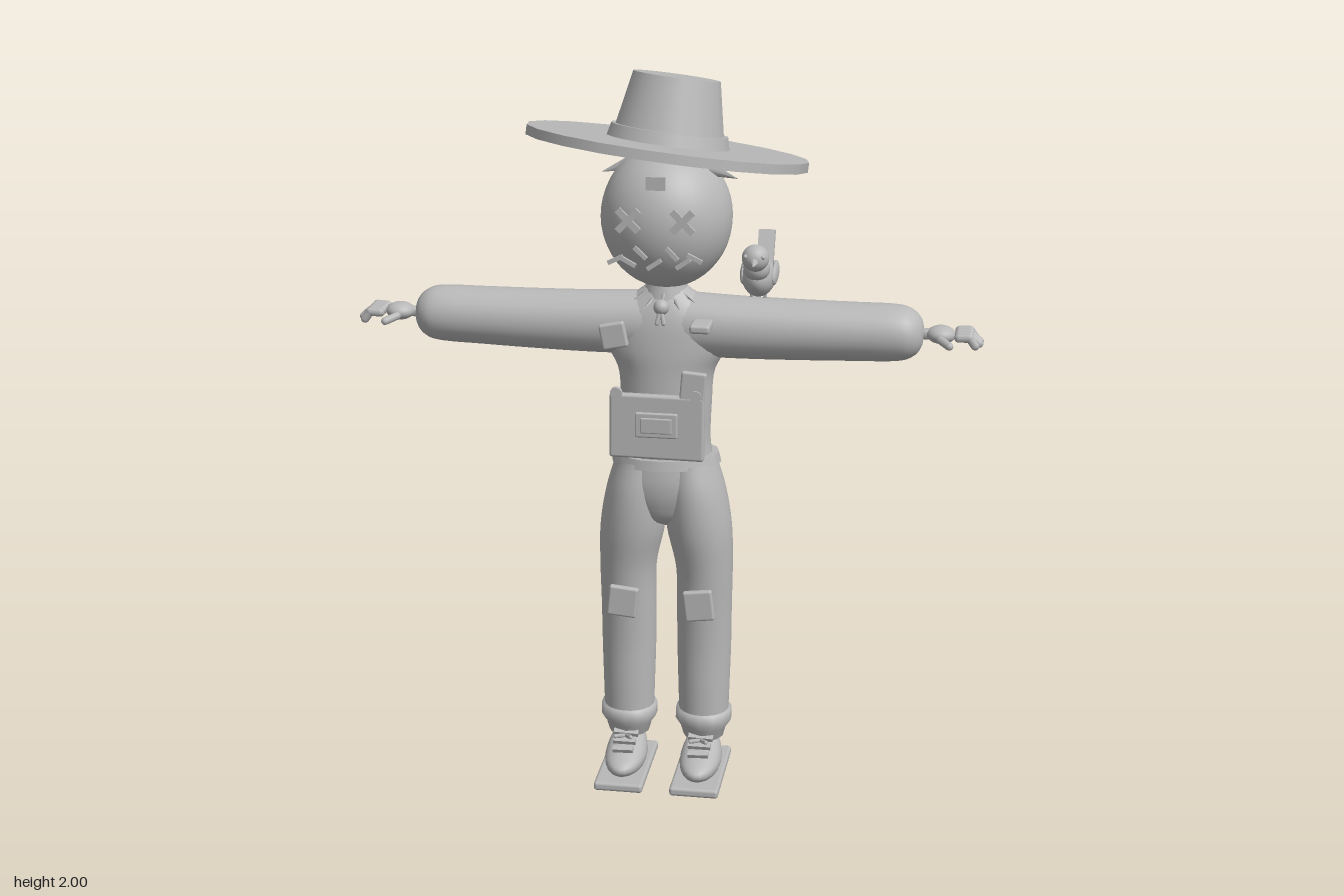
import * as THREE from 'three';
import { mergeVertices } from 'three/addons/utils/BufferGeometryUtils.js';
import { RoundedBoxGeometry } from 'three/addons/geometries/RoundedBoxGeometry.js';

const clay = new THREE.MeshStandardMaterial({ color: 0xb8b8b8 });
clay.name = 'plain grey';

// Smooth closed-section skin through rings [y, cx, cz, rx, rz], listed from top to bottom
function loft(rings, sides = 28, rows = 32) {
  const mid = new THREE.CatmullRomCurve3(rings.map(r => new THREE.Vector3(r[1], r[0], r[2])), false, 'catmullrom');
  const rad = new THREE.CatmullRomCurve3(rings.map(r => new THREE.Vector3(r[3], r[4], 0)), false, 'catmullrom');
  let geo = new THREE.CylinderGeometry(1, 1, 1, sides, rows, true);
  geo.deleteAttribute('uv');
  geo.deleteAttribute('normal');
  const p = geo.attributes.position;
  for (let i = 0; i < p.count; i++) {
    const t = THREE.MathUtils.clamp(0.5 - p.getY(i), 0, 1);
    const c = mid.getPoint(t), r = rad.getPoint(t);
    p.setXYZ(i, c.x + p.getX(i) * r.x, c.y, c.z + p.getZ(i) * r.y);
  }
  geo = mergeVertices(geo, 1e-5);
  geo.computeVertexNormals();
  return geo;
}

function add(parent, name, geo, pos = [0, 0, 0], rot = [0, 0, 0], scale = [1, 1, 1]) {
  const m = new THREE.Mesh(geo, clay);
  m.name = name;
  m.position.set(...pos);
  m.rotation.set(...rot);
  m.scale.set(...scale);
  parent.add(m);
  return m;
}

function group(parent, name) {
  const g = new THREE.Group();
  g.name = name;
  parent.add(g);
  return g;
}

const box = (w, h, d) => new THREE.BoxGeometry(w, h, d);
const plate = (w, h, d) => new RoundedBoxGeometry(w, h, d, 2, Math.min(w, h, d) * 0.35);
const ball = r => new THREE.SphereGeometry(r, 20, 14);
const cyl = (a, b, h, n = 16) => new THREE.CylinderGeometry(a, b, h, n);

// Capsule running between two points
function rod(parent, name, a, b, r) {
  const A = new THREE.Vector3(...a), B = new THREE.Vector3(...b), d = B.clone().sub(A);
  const m = add(parent, name, new THREE.CapsuleGeometry(r, d.length(), 4, 8));
  m.position.copy(A).add(B).multiplyScalar(0.5);
  m.quaternion.setFromUnitVectors(new THREE.Vector3(0, 1, 0), d.normalize());
}

function buildHat(root) {
  const hat = group(root, 'hat');
  hat.position.set(0, 1.795, 0);
  hat.rotation.set(-0.153, 0, -0.113);
  add(hat, 'brim', cyl(0.377, 0.377, 0.026, 20));
  add(hat, 'crown', cyl(0.117, 0.153, 0.18, 20), [0, 0.097, 0]);
  add(hat, 'hatBand', cyl(0.157, 0.165, 0.034, 20), [0, 0.029, 0]);
}

function buildHead(root) {
  const head = group(root, 'head');
  add(head, 'skull', new THREE.SphereGeometry(0.176, 32, 24), [0, 1.612, 0.01], [0, 0, 0], [1, 1.09, 1]);
  // Crossed eyes
  for (const x of [-0.073, 0.07]) for (const s of [-1, 1])
    add(head, 'eyeStitch', box(0.078, 0.018, 0.009), [x, 1.64, 0.195], [0, 0, s * 0.8]);
  // Crooked smile: [x, y, angle]
  for (const [x, y, a] of [[-0.125, 1.535, 0.45], [-0.085, 1.53, -0.5], [-0.048, 1.555, -0.75], [-0.005, 1.525, 0.6],
    [0.05, 1.555, -0.8], [0.085, 1.53, 0.6], [0.12, 1.545, -0.45]])
    add(head, 'mouthStitch', box(0.044, 0.011, 0.009), [x * 0.85, y, 0.195], [0, 0, a]);
  add(head, 'browSeam', box(0.05, 0.035, 0.008), [0, 1.74, 0.195]);
  // Mended back of the head
  add(head, 'headPatch', box(0.06, 0.05, 0.009), [0.05, 1.665, -0.175], [0, 0, 0.1]);
  for (let i = 0; i < 4; i++) {
    add(head, 'backStitch', box(0.035, 0.01, 0.009), [-0.03, 1.64 - i * 0.036, -0.172], [0, 0, 0.3]);
    add(head, 'backSeam', box(0.008, 0.018, 0.009), [0.06, 1.61 - i * 0.026, -0.172]);
  }
  // Straw poking out under the hat
  for (const [x, z, a] of [[0.155, 0.03, 1.9], [-0.14, 0.0, -1.9], [0.11, -0.1, 2.2], [-0.1, -0.1, -2.2]])
    add(head, 'strawTuft', new THREE.ConeGeometry(0.02, 0.08, 5), [x, 1.735, z], [0, 0, -a]);
}

function buildTorso(root) {
  const torso = group(root, 'torso');
  add(torso, 'shirt', loft([
    [1.44, 0, 0.015, 0.035, 0.035], [1.4, 0, 0.015, 0.085, 0.06], [1.34, 0, 0.015, 0.17, 0.082],
    [1.26, 0, 0.015, 0.165, 0.092], [1.19, 0, 0.015, 0.132, 0.094], [1.1, 0, 0.017, 0.125, 0.094],
    [1.0, 0, 0.017, 0.122, 0.093], [0.93, 0, 0.017, 0.13, 0.098]]));
  add(torso, 'waistBand', cyl(0.146, 0.152, 0.028, 16), [0, 0.94, 0.016], [-0.03, 0, 0.02], [1, 1, 0.76]);

  // Overall bib with one strap stub, buttons and pocket
  const bib = group(torso, 'bib');
  add(bib, 'bibPanel', plate(0.256, 0.18, 0.024), [0, 1.075, 0.178], [0, 0, -0.01]);
  add(bib, 'bibStrap', plate(0.068, 0.09, 0.018), [0.097, 1.188, 0.18], [0, 0, -0.08]);
  add(bib, 'bibPocket', plate(0.115, 0.07, 0.014), [0, 1.083, 0.19]);
  add(bib, 'pocketPanel', plate(0.085, 0.043, 0.01), [0, 1.083, 0.196]);
  for (const x of [-0.108, 0.105])
    add(bib, 'bibButton', cyl(0.016, 0.016, 0.014), [x, 1.168, 0.188], [Math.PI / 2, 0, 0]);

  // Sewn patches and loose shoulder tabs
  add(torso, 'chestPatch', plate(0.07, 0.07, 0.02), [-0.115, 1.325, 0.183], [0, 0, 0.2]);
  add(torso, 'chestTab', plate(0.055, 0.024, 0.075), [0.11, 1.343, 0.125]);
  for (const x of [-0.11, 0.085])
    add(torso, 'backTab', plate(0.06, 0.028, 0.07), [x, 1.342, -0.092]);

  // Straw collar and knotted cord
  const n = 12;
  for (let i = 0; i < n; i++) {
    const a = i / n * Math.PI * 2, tuft = group(torso, 'collarTuft');
    tuft.position.set(0, 1.42, 0.015);
    tuft.rotation.y = a;
    add(tuft, 'collarStraw', new THREE.ConeGeometry(0.013, 0.085, 5), [0, -0.012 - 0.012 * (i % 2), 0.06], [2.05, 0, 0]);
  }
  add(torso, 'neck', cyl(0.05, 0.07, 0.08, 16), [0, 1.41, 0.015]);
  add(torso, 'knot', ball(0.021), [0, 1.385, 0.105]);
  for (const s of [-1, 1])
    rod(torso, 'knotTail', [0, 1.385, 0.112], [s * 0.009, 1.345, 0.122], 0.006);
}

function buildArm(root, side) {
  const arm = group(root, side > 0 ? 'leftArm' : 'rightArm');
  // Stuffed sleeve, turned to lie along x
  const sleeve = loft([
    [0.692, -1.318, 0.015, 0.002, 0.002], [0.686, -1.318, 0.015, 0.036, 0.036], [0.664, -1.318, 0.015, 0.062, 0.064],
    [0.62, -1.318, 0.015, 0.076, 0.078], [0.5, -1.316, 0.015, 0.079, 0.081], [0.35, -1.314, 0.015, 0.082, 0.081],
    [0.2, -1.314, 0.015, 0.085, 0.081], [0.05, -1.318, 0.015, 0.088, 0.08]]).rotateZ(-Math.PI / 2);
  // Mirrored sleeve comes from a half turn, with the depth offset restored
  add(arm, 'sleeve', sleeve, [0, 0, side > 0 ? 0 : 0.03], [0, side > 0 ? 0 : Math.PI, 0]);

  const hand = group(arm, 'hand');
  const at = (x, y, z) => [side * x, y, z];
  rod(hand, 'wrist', at(0.68, 1.318, 0.015), at(0.72, 1.32, 0.018), 0.016);
  add(hand, 'palm', ball(0.039), at(0.737, 1.32, 0.02), [0, 0, 0], [1, 0.62, 1]);
  rod(hand, 'thumb', at(0.737, 1.315, 0.058), at(0.762, 1.308, 0.09), 0.011);
  for (let i = 0; i < 4; i++) {
    const z = -0.02 + i * 0.025, tip = i % 3 ? 0.838 : 0.828;
    rod(hand, 'knuckle', at(0.785, 1.322, z), at(0.812, 1.323, z), 0.0125);
    rod(hand, 'fingertip', at(0.815, 1.32, z), at(tip, 1.302, z), 0.0115);
  }
}

function buildLeg(root, side) {
  const leg = group(root, side > 0 ? 'leftLeg' : 'rightLeg');
  const x = side * 0.107;
  add(leg, 'trouserLeg', loft([
    [0.94, side * 0.068, 0.018, 0.07, 0.096], [0.85, side * 0.082, 0.02, 0.083, 0.108],
    [0.74, side * 0.093, 0.02, 0.09, 0.104], [0.62, x, 0.016, 0.079, 0.088], [0.5, x, 0.012, 0.077, 0.08],
    [0.38, x, 0.01, 0.076, 0.075], [0.27, x, 0.012, 0.073, 0.073], [0.17, x, 0.014, 0.07, 0.07]]));
  add(leg, 'kneePatch', plate(0.082, 0.088, 0.02), [side * 0.106, 0.54, 0.119], [0, 0, side > 0 ? 0.12 : -0.1]);
  add(leg, 'cuff', new THREE.LatheGeometry([[0.05, 0.1], [0.058, 0.105], [0.066, 0.135], [0.08, 0.155], [0.079, 0.188], [0.05, 0.19]]
    .map(p => new THREE.Vector2(...p)), 14), [x, 0, 0.015]);
  add(leg, 'ankle', cyl(0.038, 0.042, 0.07, 12), [x, 0.09, 0.01]);

  // Shoe on a flat sole, low at the toe and high at the heel
  add(leg, 'shoe', loft([
    [0.108, x, 0.012, 0.005, 0.005], [0.104, x, 0.014, 0.036, 0.04], [0.085, x, 0.04, 0.05, 0.078],
    [0.06, x, 0.066, 0.058, 0.112], [0.04, x, 0.07, 0.057, 0.118], [0.022, x, 0.07, 0.05, 0.1]], 24, 20));
  add(leg, 'sole', plate(0.138, 0.026, 0.292), [x, 0.013, 0.073]);
  for (let i = 0; i < 3; i++)
    add(leg, 'lace', box(0.07 - i * 0.006, 0.012, 0.016), [x, 0.117 - i * 0.014, 0.075 + i * 0.026], [0.4, 0, 0.05 * (i - 1)]);
  for (const s of [-1, 1])
    rod(leg, 'laceEnd', [x, 0.11, 0.08], [x + s * 0.022, 0.127, 0.125], 0.006);
}

function buildBird(root) {
  const bird = group(root, 'bird');
  bird.position.set(0.248, 0, 0);
  add(bird, 'birdBody', ball(0.05), [0, 1.455, 0.006], [-0.1, 0, 0], [0.9, 1.08, 1.55]);
  add(bird, 'birdHead', ball(0.036), [0, 1.526, 0.09]);
  add(bird, 'birdNeck', ball(0.036), [0, 1.492, 0.06]);
  add(bird, 'beak', new THREE.ConeGeometry(0.014, 0.035, 8), [0, 1.52, 0.135], [1.7, 0, 0]);
  add(bird, 'tail', box(0.045, 0.1, 0.018), [0, 1.492, -0.152], [-0.48, 0, 0]);
  for (const s of [-1, 1]) {
    add(bird, 'wing', ball(0.035), [s * 0.041, 1.462, -0.01], [0.2, 0, 0], [0.3, 0.8, 1.5]);
    add(bird, 'birdEye', ball(0.006), [s * 0.023, 1.535, 0.115]);
    rod(bird, 'birdLeg', [s * 0.018, 1.38, 0.01], [s * 0.018, 1.42, 0.01], 0.005);
  }
}

export function createModel() {
  const root = new THREE.Group();
  root.name = 'scarecrow';
  buildHat(root);
  buildHead(root);
  buildTorso(root);
  add(root, 'hips', loft([
    [0.95, 0, 0.018, 0.136, 0.1], [0.88, 0, 0.02, 0.15, 0.104], [0.82, 0, 0.02, 0.13, 0.095],
    [0.77, 0, 0.02, 0.08, 0.07], [0.735, 0, 0.02, 0.003, 0.003]]));
  for (const side of [-1, 1]) {
    buildArm(root, side);
    buildLeg(root, side);
  }
  buildBird(root);
  return root;
}
